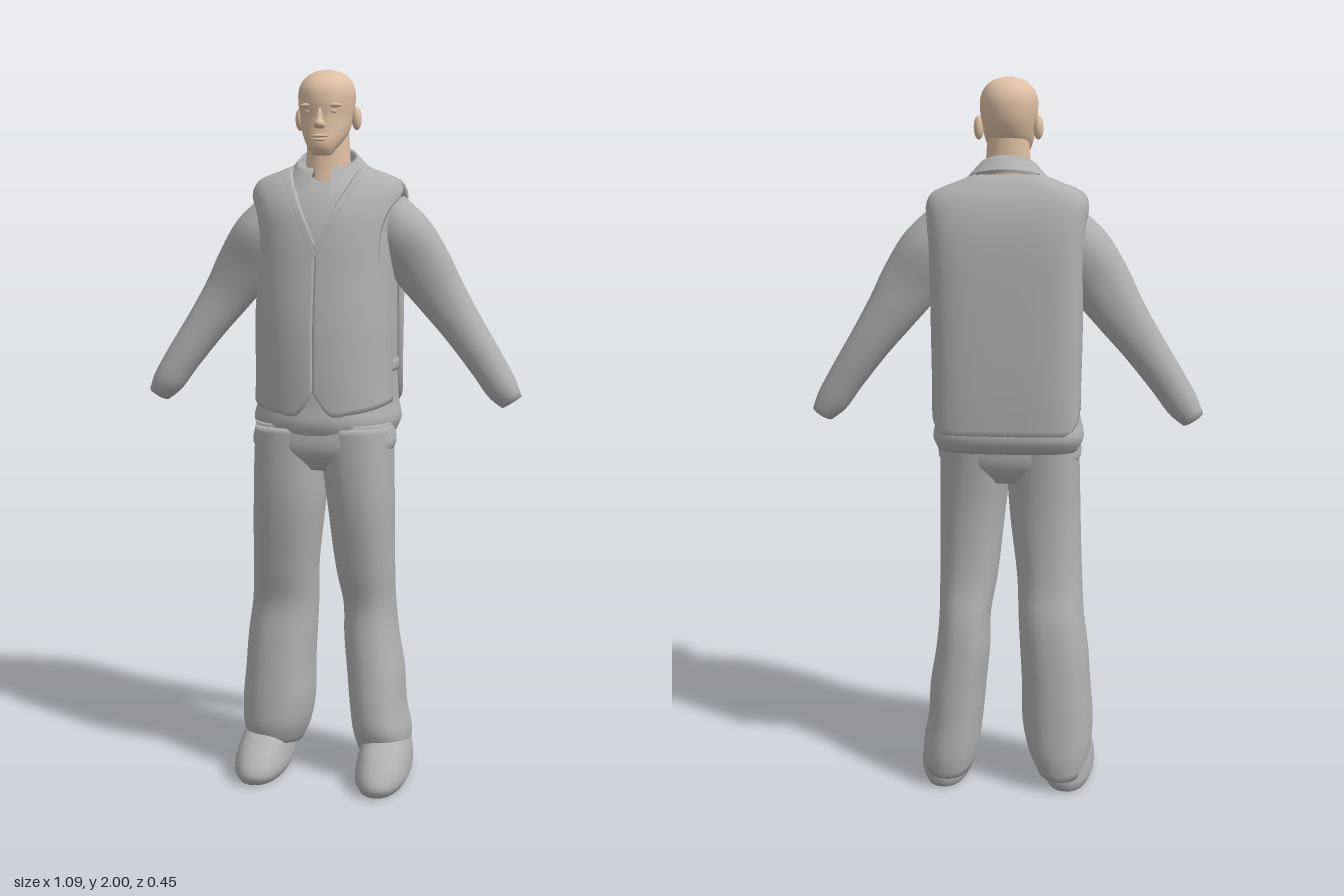
import * as THREE from 'three';
import { mergeVertices } from 'three/addons/utils/BufferGeometryUtils.js';

const { clamp, lerp } = THREE.MathUtils;

export function createModel() {
  const model = new THREE.Group();
  model.name = 'standingMan';
  const cloth = new THREE.MeshStandardMaterial({ color: 0xb0b0b0, side: THREE.DoubleSide });
  cloth.name = 'grey cloth';
  const skin = new THREE.MeshStandardMaterial({ color: 0xdebfa3 });
  skin.name = 'skin';

  const add = (name, geometry, material) => {
    const mesh = new THREE.Mesh(geometry, material);
    mesh.name = name;
    model.add(mesh);
    return mesh;
  };

  // Smooth interpolation through rows of [parameter, values...]
  const smooth = (keys) => {
    const f = new THREE.CubicInterpolant(keys.map(k => k[0]), keys.flatMap(k => k.slice(1)), keys[0].length - 1);
    return t => f.evaluate(t);
  };

  // Grid surface; u and v step one past their ends so rims and caps can turn inward
  const grid = (fn, nu, nv, extraU = 0, extraV = 1) => {
    const pos = [], index = [], cols = nu + 1 + 2 * extraU, rows = nv + 1 + 2 * extraV;
    for (let j = 0; j < rows; j++)
      for (let i = 0; i < cols; i++) pos.push(...fn((i - extraU) / nu, (j - extraV) / nv));
    for (let j = 0; j < rows - 1; j++)
      for (let i = 0; i < cols - 1; i++) {
        const a = j * cols + i, b = a + cols;
        index.push(a, b, a + 1, a + 1, b, b + 1);
      }
    let g = new THREE.BufferGeometry();
    g.setAttribute('position', new THREE.Float32BufferAttribute(pos, 3));
    g.setIndex(index);
    g = mergeVertices(g, 1e-5);
    g.computeVertexNormals();
    return g;
  };

  // Point on a rounded section [xMin, xMax, zBack, zFront]
  const onSection = ([x0, x1, zb, zf], a, pf, pb, cz = (zb + zf) / 2, scale = 1) => {
    const c = Math.cos(a), s = Math.sin(a), p = s > 0 ? pf : pb;
    const r = scale * (Math.abs(c) ** p + Math.abs(s) ** p) ** (-1 / p);
    return [(x0 + x1) / 2 + (x1 - x0) / 2 * c * r, cz + (s > 0 ? zf - cz : cz - zb) * s * r];
  };

  // Closed loft through horizontal sections [y, xMin, xMax, zBack, zFront]
  const loft = (name, material, keys, { pf = 2.2, pb = pf, cz, tilt = () => 0, rows = 36 } = {}) => {
    const at = smooth(keys), y0 = keys[0][0], y1 = keys[keys.length - 1][0];
    return add(name, grid((u, v) => {
      const y = lerp(y0, y1, clamp(v, 0, 1));
      const [x, z] = onSection(at(y), u * Math.PI * 2, pf, pb, cz, v < 0 || v > 1 ? 0 : 1);
      return [x, y + tilt(y, z), z];
    }, 36, rows), material);
  };
  const mirrored = (keys, side) => side > 0 ? keys : keys.map(([y, a, b, c, d]) => [y, -b, -a, c, d]);

  // Head and neck
  loft('neck', skin, [[1.66, -.07, .06, -.11, .03], [1.75, -.067, .057, -.11, .015], [1.85, -.06, .05, -.11, .01]]);
  loft('head', skin, [
    [1.765, -.03, .02, .02, .06], [1.78, -.042, .03, -.01, .072], [1.8, -.055, .043, -.05, .075],
    [1.83, -.069, .057, -.1, .07], [1.87, -.077, .065, -.128, .067], [1.91, -.083, .071, -.138, .07],
    [1.95, -.081, .069, -.134, .06], [1.98, -.063, .051, -.112, .027], [1.994, -.04, .028, -.085, -.002],
    [2, -.014, .002, -.052, -.03]]);
  loft('nose', skin, [[1.835, -.018, .006, .04, .077], [1.842, -.022, .01, .04, .095],
    [1.86, -.016, .004, .04, .087], [1.89, -.012, 0, .04, .072]], { rows: 10 });
  const blob = (name, x, y, z, sx, sy, sz) => {
    const g = new THREE.SphereGeometry(1, 16, 12).scale(sx, sy, sz);
    return add(name, g, skin).position.set(x, y, z);
  };
  blob('upperLip', -.006, 1.815, .068, .024, .005, .011);
  blob('lowerLip', -.006, 1.805, .067, .02, .006, .011);
  for (const s of [1, -1]) {
    blob('ear', -.006 + s * .08, 1.868, -.052, .014, .032, .018);
    blob('brow', -.006 + s * .032, 1.897, .054, .026, .007, .011);
    blob('eye', -.006 + s * .031, 1.881, .052, .014, .007, .009);
  }

  // Shirt body with rolled hem
  loft('shirt', cloth, [
    [.995, -.2, .186, -.165, .138], [1.03, -.217, .2, -.187, .152], [1.08, -.207, .192, -.183, .147],
    [1.3, -.2, .185, -.19, .14], [1.55, -.2, .185, -.195, .103], [1.66, -.2, .185, -.178, .052],
    [1.71, -.165, .15, -.155, .012], [1.745, -.085, .07, -.115, -.01]], { pf: 2.3, pb: 3.2, cz: -.07, rows: 60 });
  loft('sideStrap', cloth, [[1.17, -.206, .191, -.19, .143], [1.2, -.206, .191, -.19, .143]],
    { pf: 2.3, pb: 3.2, cz: -.07, rows: 3 });

  // Sleeves, lofted along the slanted arm from cuff to shoulder
  const sleeve = [
    [0, -.03, .033, -.105, -.03], [.04, -.045, .042, -.115, -.016], [.12, -.052, .047, -.125, -.016],
    [.25, -.067, .05, -.138, -.025], [.36, -.086, .056, -.145, -.028], [.45, -.1, .066, -.15, -.015],
    [.56, -.1, .066, -.163, .008], [.65, -.09, .043, -.15, -.01]];
  for (const s of [1, -1]) {
    const arm = loft(s > 0 ? 'leftSleeve' : 'rightSleeve', cloth, mirrored(sleeve, s));
    arm.position.set(s * .515, 1.083, 0);
    arm.rotation.z = s * .563;
  }

  // Vest panels follow the torso between an inner and an outer edge
  const CZ = -.07, PF = 2.3, PB = 4.5;
  const torso = smooth([
    [1.05, -.215, .2, -.215, .16], [1.15, -.212, .197, -.22, .162], [1.3, -.213, .198, -.223, .157],
    [1.45, -.215, .2, -.223, .137], [1.55, -.218, .203, -.22, .12], [1.62, -.222, .207, -.212, .098],
    [1.68, -.221, .206, -.195, .055], [1.705, -.2, .185, -.182, .03], [1.73, -.135, .12, -.165, .003],
    [1.745, -.1, .085, -.15, -.01]]);
  const angleAtX = (x, y) => {
    const [x0, x1] = torso(y), X = clamp(x / ((x1 - x0) / 2), 0, 1);
    return Math.atan2((1 - X ** PF) ** (1 / PF), X);
  };
  const angleAtZ = (z, y) => {
    const [, , zb, zf] = torso(y), front = z > CZ, p = front ? PF : PB;
    const Z = clamp((z - CZ) / (front ? zf - CZ : zb - CZ), 0, 1);
    return (front ? 1 : -1) * Math.atan2(Z, (1 - Z ** p) ** (1 / p));
  };
  const panel = (name, side, front, inner, outer, hem, top, scale = 1) =>
    add(name, grid((u, v) => {
      let w = (side > 0) === front ? 1 - u : u;
      const rim = w > 1.001 || v < 0 || v > 1 || (front && w < -.001);
      w = clamp(w, 0, 1);
      const y = lerp(hem(w), top, clamp(v, 0, 1));
      let a = lerp(inner(y), outer(y), w);
      if (side < 0) a = Math.PI - a;
      const [x, z] = onSection(torso(y), a, PF, PB, CZ, rim ? .94 : scale);
      return [x, y, z];
    }, 24, 48, 1), cloth);

  const frontEdge = smooth([[1.05, .01], [1.2, .01], [1.3, .025], [1.45, .06], [1.55, .055], [1.62, .02],
    [1.68, -.06], [1.7, -.07], [1.75, -.07]]);
  const backEdge = smooth([[1.05, -.205], [1.1, -.165], [1.2, -.13], [1.35, -.115], [1.5, -.13], [1.6, -.125],
    [1.68, -.08], [1.7, -.07], [1.75, -.07]]);
  const frontHem = smooth([[0, 1.125], [.17, 1.063], [.4, 1.063], [1, 1.088]]);
  const vNeck = y => Math.max(0, (y - 1.52) * .48);
  for (const s of [1, -1]) {
    panel('vestFront', s, true, y => angleAtX(vNeck(y), y),
      y => Math.max(0, angleAtZ(frontEdge(y)[0], y)), w => frontHem(w)[0], 1.738);
    panel('vestBack', s, false, () => -Math.PI / 2,
      y => Math.min(0, angleAtZ(backEdge(y)[0], y)), () => 1.055, 1.745);
    panel('neckTrim', s, true, y => angleAtX(vNeck(y), y),
      y => angleAtX(Math.max(0, (y - 1.485) * .48), y), () => 1.49, 1.735, 1.015);
  }

  // Folded shirt collar, open at the throat
  add('collar', grid((u, v) => {
    const a = Math.PI / 2 + lerp(.3, Math.PI * 2 - .3, u), f = (1 + Math.sin(a)) / 2;
    const top = 1.797 - .07 * f;
    const outside = Math.max(0, v - .5) * 2, inside = Math.max(0, .5 - v) * 2;
    const r = .08 + .037 * outside - .008 * inside;
    const y = top - outside * (.037 + .035 * f ** 3) - inside * .045;
    return [-.007 + r * Math.cos(a), y, -.055 + (r + .022 * f * outside) * Math.sin(a)];
  }, 40, 8, 0, 0), cloth);

  // Trousers
  loft('hips', cloth, [[.9, -.13, .115, -.11, .1], [.95, -.2, .188, -.145, .137], [1.03, -.2, .188, -.155, .14]],
    { pf: 2.6, rows: 12 });
  const hemTilt = (y, z) => .22 * z * clamp(1 - (y - .07) / .2, 0, 1);
  const legs = {
    leftTrouserLeg: [
      [.07, .093, .238, -.163, .09], [.12, .08, .243, -.172, .11], [.2, .07, .228, -.168, .108],
      [.3, .06, .22, -.165, .095], [.4, .05, .203, -.162, .082], [.5, .047, .193, -.153, .073],
      [.6, .03, .193, -.132, .094], [.8, .008, .193, -.128, .13], [.92, -.008, .191, -.14, .138],
      [1.02, -.02, .19, -.155, .14]],
    rightTrouserLeg: [
      [.07, -.235, -.088, -.16, .085], [.12, -.247, -.063, -.168, .1], [.2, -.25, -.046, -.166, .1],
      [.3, -.242, -.045, -.163, .092], [.4, -.235, -.04, -.16, .082], [.5, -.222, -.035, -.152, .073],
      [.6, -.215, -.03, -.132, .094], [.8, -.207, -.006, -.128, .13], [.92, -.204, .002, -.14, .138],
      [1.02, -.2, .01, -.155, .14]],
  };
  for (const [name, keys] of Object.entries(legs)) loft(name, cloth, keys, { pf: 2.4, tilt: hemTilt, rows: 60 });

  // Shoes
  const shoe = [
    [0, .112, .243, -.142, .208], [.02, .102, .253, -.15, .224], [.045, .102, .254, -.15, .218],
    [.075, .106, .25, -.148, .188], [.105, .112, .24, -.14, .14], [.14, .12, .225, -.12, .06]];
  for (const s of [1, -1]) {
    const keys = mirrored(shoe, s).map(([y, a, b, c, d]) => [y, a, b, c, s > 0 ? d : d - .022]);
    loft(s > 0 ? 'leftShoe' : 'rightShoe', cloth, keys, { pf: 2.3, rows: 16 });
  }
  return model;
}
